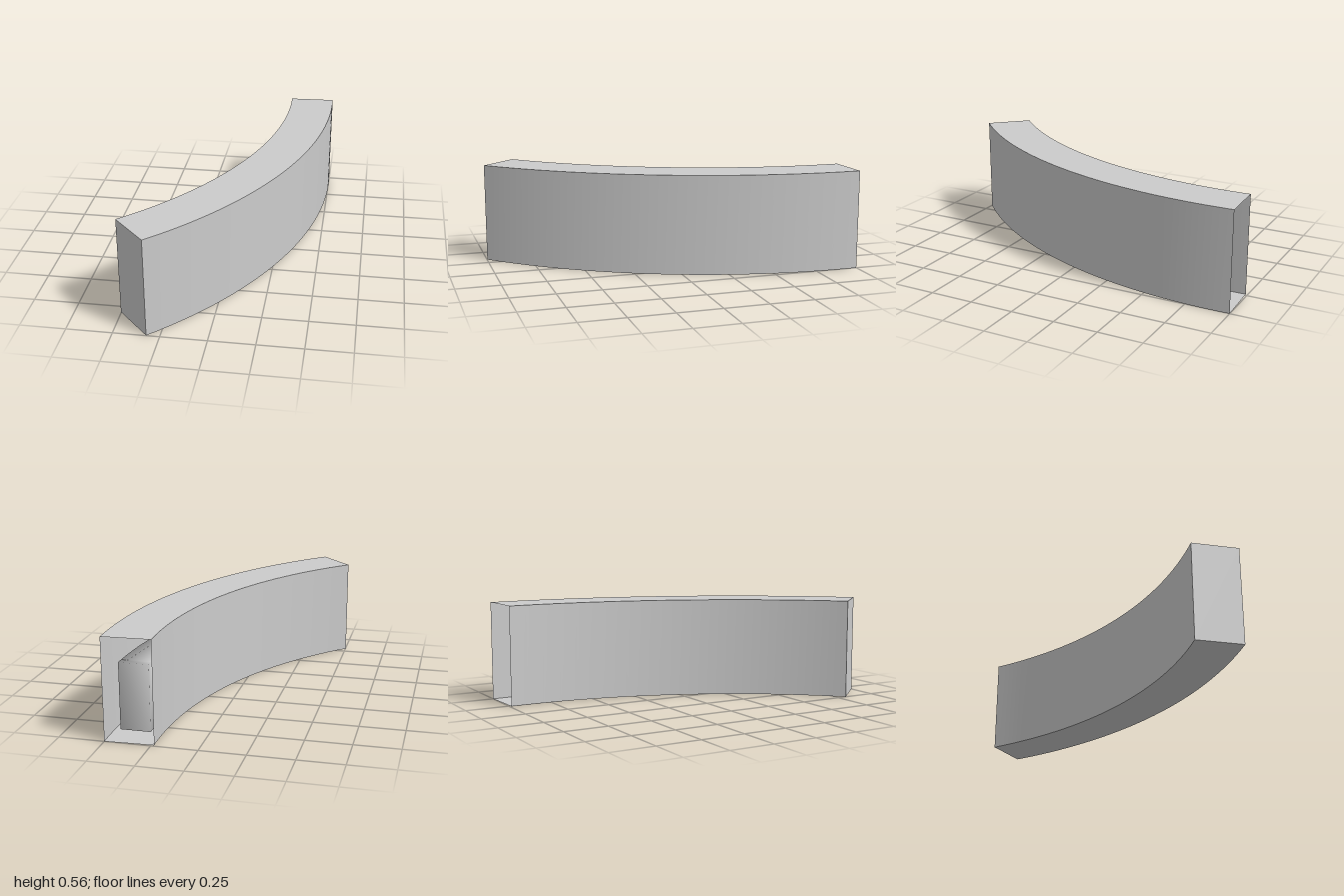
import * as THREE from 'three';

// Centre of the bend on the ground plane, and the angles of its two ends
const CX = -2.088, CZ = -0.896;
const START = THREE.MathUtils.degToRad(-2.3), END = THREE.MathUtils.degToRad(47);
const INNER = 2.325, OUTER = 2.59, HEIGHT = 0.565;
const STEPS = 40;

const material = new THREE.MeshStandardMaterial({ color: 0xcccccc, side: THREE.DoubleSide });

// Rectangle corners as [radius, y], counter-clockwise
const rectangle = (r0, r1, y0, y1) => [[r0, y0], [r1, y0], [r1, y1], [r0, y1]];

const place = ([r, y], angle) => [CX + r * Math.cos(angle), y, CZ + r * Math.sin(angle)];

// Sweeps a rectangle round the bend; soft shares the corners between the sides
function sweep(corners, from, to, { soft = false, backCap = false, frontCap = false }) {
  const positions = [], index = [];
  const add = (corner, angle) => positions.push(...place(corner, angle)) / 3 - 1;

  const sides = corners.map((corner, k) => [corner, corners[(k + 1) % 4]]);
  const rings = [];
  for (let i = 0; i <= STEPS; i++) {
    const angle = from + (to - from) * i / STEPS;
    if (soft) {
      const ids = corners.map((c) => add(c, angle));
      rings.push(ids.map((id, k) => [id, ids[(k + 1) % 4]]));
    } else {
      rings.push(sides.map(([a, b]) => [add(a, angle), add(b, angle)]));
    }
  }
  for (let i = 0; i < STEPS; i++) {
    for (let k = 0; k < 4; k++) {
      const [a, b] = rings[i][k], [c, d] = rings[i + 1][k];
      index.push(a, b, c, b, d, c);
    }
  }

  const capIds = (ring, angle) => soft ? ring.map(([id]) => id) : corners.map((c) => add(c, angle));
  if (frontCap) {
    const [a, b, c, d] = capIds(rings[STEPS], to);
    index.push(a, b, c, a, c, d);
  }
  if (backCap) {
    const [a, b, c, d] = capIds(rings[0], from);
    index.push(a, c, b, a, d, c);
  }

  const geometry = new THREE.BufferGeometry();
  geometry.setAttribute('position', new THREE.Float32BufferAttribute(positions, 3));
  geometry.setIndex(index);
  geometry.computeVertexNormals();
  return geometry;
}

export function createModel() {
  const group = new THREE.Group();
  group.name = 'curvedChannel';

  // Thin-walled curved casing, open at the back and closed at the front
  const casing = new THREE.Mesh(
    sweep(rectangle(INNER, OUTER, 0, HEIGHT), START, END, { frontCap: true }), material);
  casing.name = 'casing';
  group.add(casing);

  // Soft-shaded bar inside, set back from the open end
  const core = new THREE.Mesh(
    sweep(rectangle(INNER + 0.05, OUTER - 0.05, 0.025, 0.395), START + 0.045, END - 0.045,
      { soft: true, backCap: true, frontCap: true }), material);
  core.name = 'innerBar';
  group.add(core);

  return group;
}
